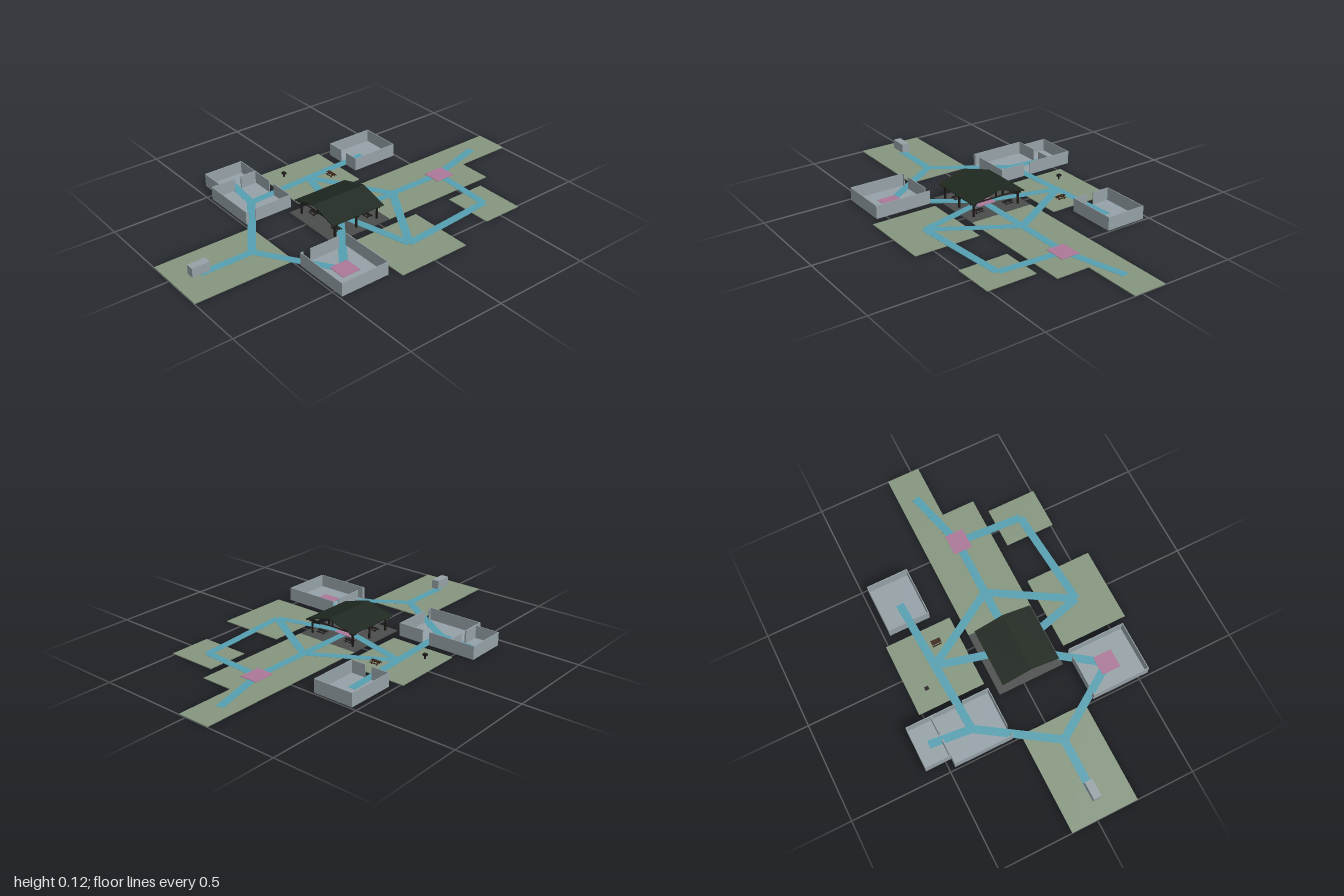
import * as THREE from 'three';

const mat = (name, color) => {
  const m = new THREE.MeshStandardMaterial({ color });
  m.name = name;
  return m;
};

export function createModel() {
  const lawnMat = mat('lawn green', 0x85967f);
  const wallMat = mat('wall grey', 0x95a1a7);
  const pathMat = mat('path blue', 0x559fb0);
  const padMat = mat('pad pink', 0xab7898);
  const deckMat = mat('deck grey', 0x4b4d4c);
  const roofMat = mat('roof dark green', 0x1f2920);
  const frameMat = mat('frame black', 0x1f1c1a);
  const woodMat = mat('dark wood', 0x3a2418);

  const model = new THREE.Group();
  model.name = 'campPlan';

  // Box given by its two extreme corners
  const box = (parent, name, m, x0, x1, y0, y1, z0, z1) => {
    const mesh = new THREE.Mesh(new THREE.BoxGeometry(x1 - x0, y1 - y0, z1 - z0), m);
    mesh.position.set((x0 + x1) / 2, (y0 + y1) / 2, (z0 + z1) / 2);
    mesh.name = name;
    parent.add(mesh);
    return mesh;
  };

  // Square bar between two points
  const bar = (parent, name, m, a, b, size) => {
    const from = new THREE.Vector3(...a), to = new THREE.Vector3(...b);
    const mesh = new THREE.Mesh(new THREE.BoxGeometry(size, size, from.distanceTo(to)), m);
    mesh.position.copy(from).add(to).multiplyScalar(0.5);
    mesh.lookAt(to);
    mesh.name = name;
    parent.add(mesh);
    return mesh;
  };

  const group = (name, x = 0, y = 0, z = 0) => {
    const g = new THREE.Group();
    g.name = name;
    g.position.set(x, y, z);
    model.add(g);
    return g;
  };

  const top = 0.004;

  // Lawns: x0, x1, z0, z1
  const lawns = group('lawns');
  [
    [-0.13, 0.21, 0.49, 1.0],
    [-0.13, 0.21, -0.705, -0.06],
    [-0.13, 0.04, -1.0, -0.705],
    [-0.513, -0.172, -0.19, 0.188],
    [0.255, 0.595, -0.19, 0.188],
    [0.255, 0.51, -0.62, -0.407],
  ].forEach(([x0, x1, z0, z1]) => box(lawns, 'lawn', lawnMat, x0, x1, 0, top, z0, z1));

  // Open-topped rooms; each wall is split around its doorway
  const H = 0.068, T = 0.004;
  const room = (x0, x1, z0, z1, doors = {}) => {
    const g = group('room');
    box(g, 'floor', wallMat, x0, x1, 0, top, z0, z1);
    const spans = (a, b, list = []) => {
      const out = [];
      let s = a;
      list.forEach(([d0, d1]) => {
        if (d0 - s > 0.002) out.push([s, d0]);
        s = d1;
      });
      if (b - s > 0.002) out.push([s, b]);
      return out;
    };
    spans(x0, x1, doors.back).forEach(([a, b]) => box(g, 'backWall', wallMat, a, b, 0, H, z0, z0 + T));
    spans(x0, x1, doors.front).forEach(([a, b]) => box(g, 'frontWall', wallMat, a, b, 0, H, z1 - T, z1));
    spans(z0, z1, doors.right).forEach(([a, b]) => box(g, 'rightWall', wallMat, x0, x0 + T, 0, H, a, b));
    spans(z0, z1, doors.left).forEach(([a, b]) => box(g, 'leftWall', wallMat, x1 - T, x1, 0, H, a, b));
  };
  room(-0.47, -0.257, -0.49, -0.235, { front: [[-0.375, -0.337]] });
  room(-0.47, -0.172, 0.232, 0.488, { back: [[-0.348, -0.31]], left: [[0.435, 0.473]], right: [[0.32, 0.358]] });
  room(-0.6, -0.47, 0.232, 0.445, { left: [[0.32, 0.358]] });
  room(0.255, 0.55, 0.232, 0.488, { right: [[0.236, 0.275], [0.435, 0.473]] });

  // Walkways joining the middles of the areas
  const nodes = {
    front: [0.04, 0.6], entry: [0.04, 0.87], shelter: [0.04, 0.1], back: [0.04, -0.23],
    plaza: [0.04, -0.535], tail: [-0.045, -0.85], west: [-0.342, 0], east: [0.425, 0],
    northEast: [0.382, -0.515], northRoom: [-0.36, -0.36], westRoom: [-0.322, 0.36],
    annex: [-0.535, 0.338], eastRoom: [0.402, 0.36],
  };
  const paths = group('paths');
  [
    ['entry', 'front'], ['front', 'westRoom'], ['front', 'eastRoom'], ['westRoom', 'annex'],
    ['westRoom', 'west'], ['west', 'northRoom'], ['west', 'shelter'], ['west', 'back'],
    ['east', 'shelter'], ['east', 'back'], ['eastRoom', 'shelter'], ['shelter', 'back'],
    ['back', 'plaza'], ['plaza', 'tail'], ['plaza', 'northEast'], ['northEast', 'east'],
  ].forEach(([a, b]) => {
    const [ax, az] = nodes[a], [bx, bz] = nodes[b];
    const mesh = new THREE.Mesh(
      new THREE.BoxGeometry(0.04, 0.003, Math.hypot(bx - ax, bz - az)), pathMat);
    mesh.position.set((ax + bx) / 2, 0.0032, (az + bz) / 2);
    mesh.rotation.y = Math.atan2(bx - ax, bz - az);
    mesh.name = 'path';
    paths.add(mesh);
  });

  // Pink activity pads
  const pads = group('pads');
  [[0.045, -0.535, 0.048, 0.055], [0.402, 0.355, 0.048, 0.048], [0.042, 0.105, 0.05, 0.05]]
    .forEach(([x, z, w, d]) => box(pads, 'pad', padMat, x - w, x + w, 0.003, 0.0065, z - d, z + d));

  // Raised kiosk by the entry
  box(model, 'kiosk', wallMat, 0.02, 0.06, 0.015, 0.062, 0.828, 0.918);

  // Shelter: deck, posts, trusses and gable roof
  box(model, 'deck', deckMat, -0.13, 0.21, 0, 0.0045, -0.065, 0.27);
  const shelter = group('shelter', 0.042, 0, 0.105);
  const eave = 0.072, ridge = 0.114, half = 0.147, postX = 0.128;
  for (const z of [-0.125, 0, 0.125]) {
    for (const s of [-1, 1]) {
      box(shelter, 'post', frameMat, s * postX - 0.004, s * postX + 0.004, 0, 0.08, z - 0.004, z + 0.004);
      bar(shelter, 'rafter', frameMat, [s * half, eave, z], [0, ridge, z], 0.006);
      bar(shelter, 'brace', frameMat, [s * postX, 0.05, z], [s * (postX - 0.022), 0.073, z], 0.003);
      for (const d of [-1, 1]) {
        if (z * d > 0) continue;
        bar(shelter, 'brace', frameMat, [s * postX, 0.05, z], [s * postX, 0.073, z + d * 0.022], 0.003);
      }
    }
    box(shelter, 'tieBeam', frameMat, -postX, postX, 0.07, 0.075, z - 0.003, z + 0.003);
    box(shelter, 'kingPost', frameMat, -0.003, 0.003, 0.073, ridge, z - 0.003, z + 0.003);
  }
  for (const s of [-1, 1])
    box(shelter, 'sideBeam', frameMat, s * postX - 0.003, s * postX + 0.003, 0.071, 0.077, -0.145, 0.145);

  const profile = new THREE.Shape([
    [-half, eave + 0.003], [0, ridge + 0.002], [half, eave + 0.003],
    [half + 0.002, eave + 0.008], [0, ridge + 0.008], [-half - 0.002, eave + 0.008],
  ].map(p => new THREE.Vector2(...p)));
  const roof = new THREE.Mesh(
    new THREE.ExtrudeGeometry(profile, { depth: 0.3, bevelEnabled: false }), roofMat);
  roof.position.z = -0.15;
  roof.name = 'roof';
  shelter.add(roof);

  // Picnic tables with benches
  const table = (x, z, m) => {
    const g = group('picnicTable', x, top, z);
    box(g, 'tableTop', m, -0.024, 0.024, 0.015, 0.018, -0.009, 0.009);
    for (const s of [-1, 1]) {
      box(g, 'bench', m, -0.024, 0.024, 0.008, 0.01, s * 0.014 - 0.003, s * 0.014 + 0.003);
      box(g, 'crossRail', m, s * 0.015 - 0.001, s * 0.015 + 0.001, 0.007, 0.009, -0.016, 0.016);
      for (const d of [-1, 1])
        bar(g, 'leg', m, [s * 0.015, 0, d * 0.012], [s * 0.015, 0.016, d * 0.005], 0.0025);
    }
  };
  for (const x of [-0.044, 0.128])
    for (const z of [0.005, 0.19]) table(x, z, frameMat);
  table(-0.287, -0.1, woodMat);

  // Small grill on a post
  const grill = group('grill', -0.427, top, 0.092);
  box(grill, 'grillPost', frameMat, -0.003, 0.003, 0, 0.02, -0.003, 0.003);
  box(grill, 'grillBox', frameMat, -0.01, 0.01, 0.016, 0.026, -0.008, 0.008);

  return model;
}
